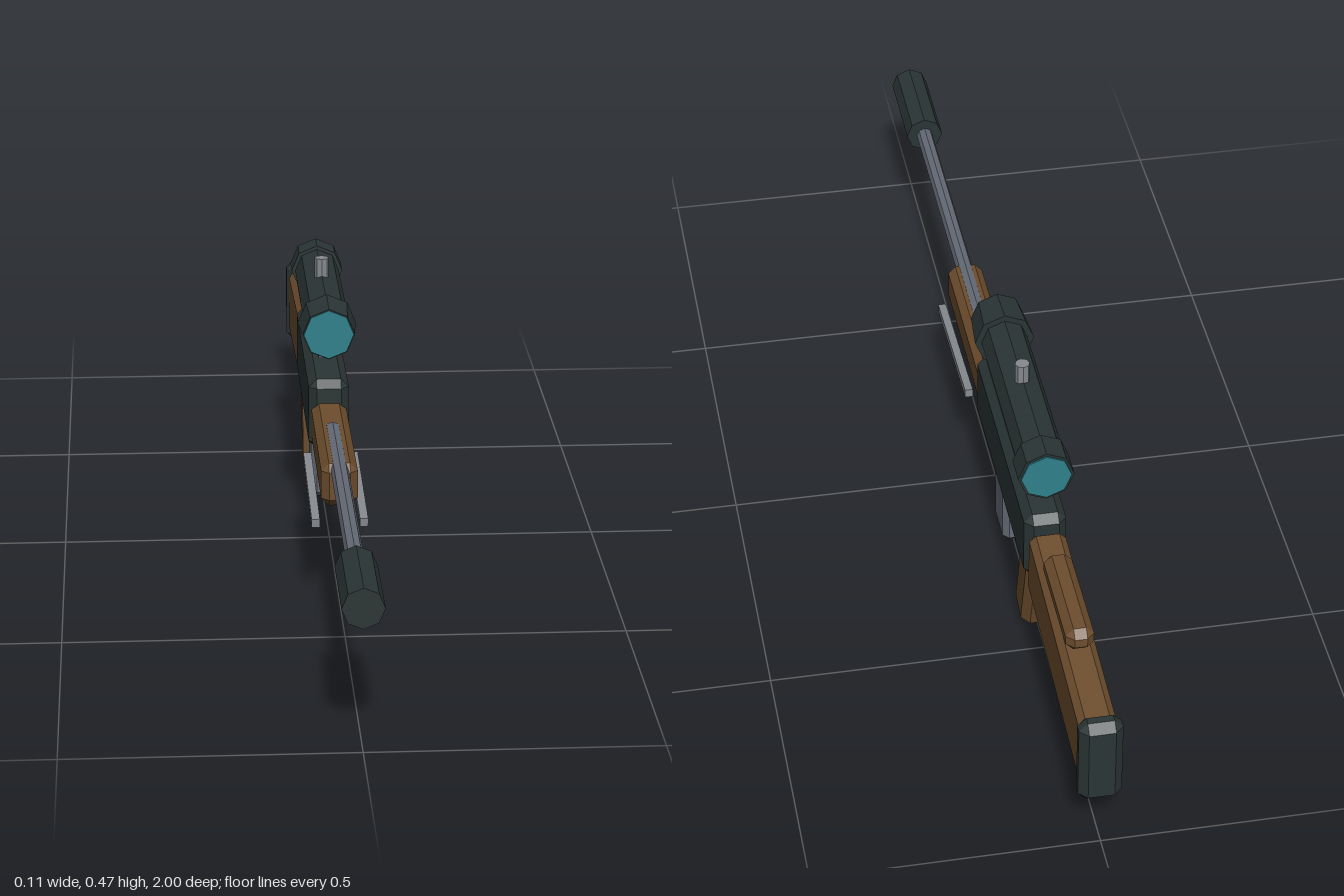
import * as THREE from 'three';
import { ConvexGeometry } from 'three/addons/geometries/ConvexGeometry.js';

const paint = (name, color) => Object.assign(new THREE.MeshStandardMaterial({ color, flatShading: true }), { name });

// Box with every edge chamfered by c
function chamferBox(w, h, d, c) {
  const points = [];
  for (const x of [-1, 1]) for (const y of [-1, 1]) for (const z of [-1, 1]) {
    for (let axis = 0; axis < 3; axis++) {
      const inset = [c, c, c];
      inset[axis] = 0;
      points.push(new THREE.Vector3(x * (w / 2 - inset[0]), y * (h / 2 - inset[1]), z * (d / 2 - inset[2])));
    }
  }
  return new ConvexGeometry(points);
}

export function createModel() {
  const model = new THREE.Group();
  model.name = 'scopedRifle';
  const dark = paint('dark gunmetal', 0x2b3535);
  const wood = paint('brown wood', 0x6e4e2e);
  const steel = paint('steel', 0x656b76);
  const pale = paint('pale steel', 0x868b90);
  const glass = paint('teal glass', 0x2f808c);

  function add(name, geometry, material, x, y, z, tilt = 0) {
    const mesh = new THREE.Mesh(geometry, material);
    mesh.name = name;
    mesh.position.set(x, y, z);
    mesh.rotation.x = tilt;
    model.add(mesh);
  }
  // Eight-sided tube lying along z, from its front end to its back end
  function tube(name, material, y, front, back, rFront, rBack = rFront) {
    const geometry = new THREE.CylinderGeometry(rFront, rBack, front - back, 8).rotateX(Math.PI / 2);
    add(name, geometry, material, 0, y, (front + back) / 2);
  }

  // Barrel and muzzle
  tube('barrel', steel, 0.253, 0.82, 0.11, 0.016);
  tube('muzzle', dark, 0.253, 1.0, 0.806, 0.036);

  // Body
  add('receiver', chamferBox(0.076, 0.137, 0.496, 0.015), dark, 0, 0.239, -0.258);
  add('handguard', chamferBox(0.066, 0.08, 0.37, 0.014), wood, 0, 0.224, 0.155);
  add('magazine', chamferBox(0.054, 0.16, 0.096, 0.011), steel, 0, 0.109, -0.187);
  add('grip', chamferBox(0.062, 0.19, 0.08, 0.015), wood, 0, 0.098, -0.428, -0.297);

  // Stock
  add('stock', chamferBox(0.066, 0.133, 0.465, 0.012), wood, 0, 0.195, -0.732, -0.085);
  add('cheekRest', chamferBox(0.05, 0.045, 0.222, 0.014), wood, 0, 0.286, -0.704);
  add('buttPad', chamferBox(0.076, 0.172, 0.044, 0.015), dark, 0, 0.175, -0.978);

  // Scope
  const scopeY = 0.397;
  tube('scopeTube', dark, scopeY, -0.06, -0.48, 0.043);
  tube('scopeFrontBell', dark, scopeY, -0.02, -0.097, 0.049, 0.055);
  tube('scopeEyepiece', dark, scopeY, -0.444, -0.498, 0.05);
  tube('frontLens', glass, scopeY, -0.017, -0.021, 0.047);
  tube('rearLens', glass, scopeY, -0.497, -0.501, 0.045);
  add('scopeKnob', new THREE.CylinderGeometry(0.0135, 0.0135, 0.05, 8), pale, 0, 0.449, -0.27);
  for (const z of [-0.156, -0.382]) {
    add('scopeMount', new THREE.BoxGeometry(0.027, 0.055, 0.038), steel, 0, 0.341, z);
  }

  // Folded bipod
  for (const side of [-1, 1]) {
    add('bipodLeg', new THREE.BoxGeometry(0.015, 0.016, 0.305), pale, side * 0.0435, 0.166, 0.19, 0.066);
  }
  return model;
}
